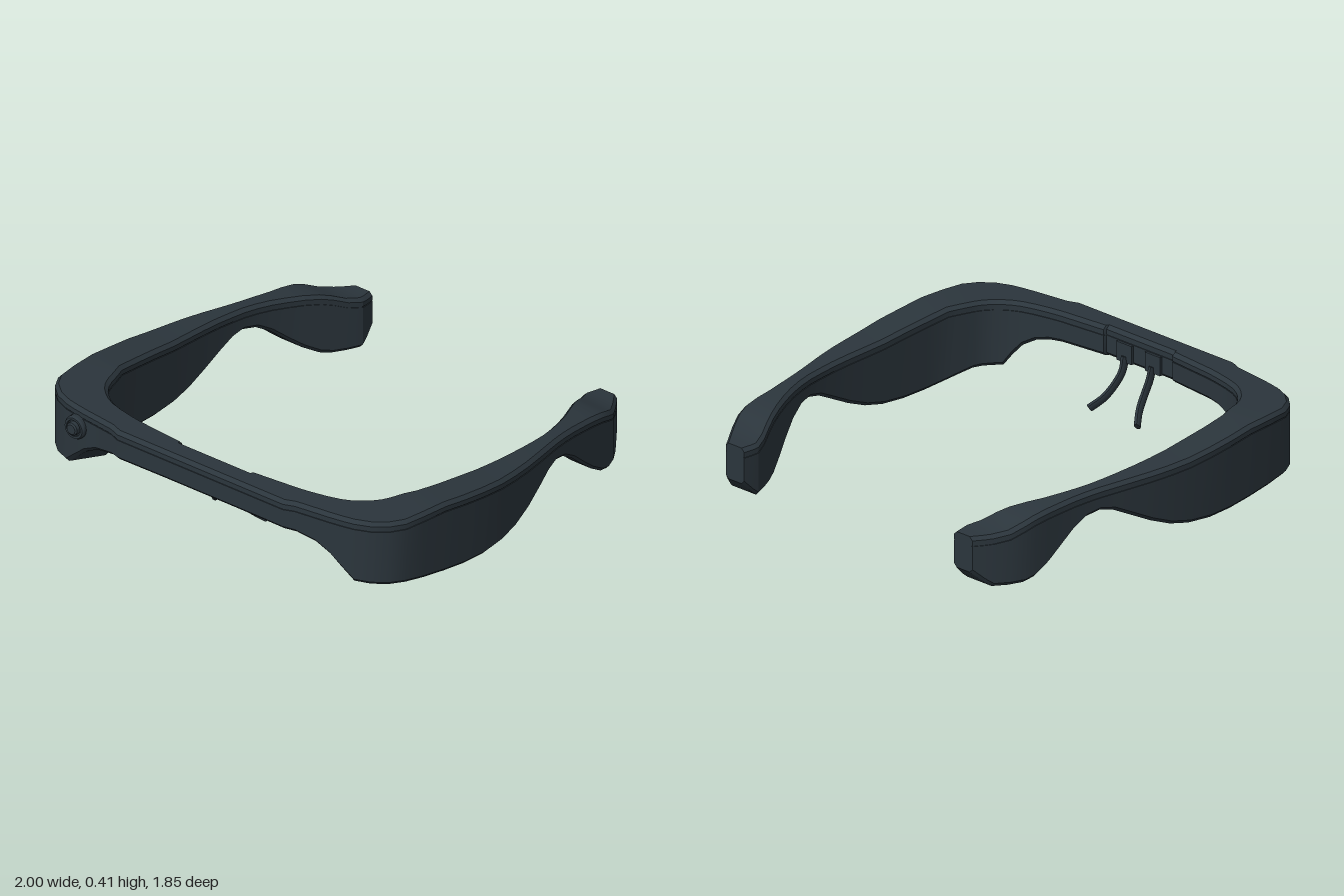
import * as THREE from 'three';
import { toCreasedNormals } from 'three/addons/utils/BufferGeometryUtils.js';

// Skin a list of equal-length closed rings and cap both ends
function loft(rings, crease = 0.5) {
  const n = rings[0].length, pos = [], idx = [];
  rings.forEach(r => r.forEach(p => pos.push(p.x, p.y, p.z)));
  for (let i = 0; i < rings.length - 1; i++) {
    for (let j = 0; j < n; j++) {
      const a = i * n + j, b = i * n + (j + 1) % n;
      idx.push(a, b, a + n, b, b + n, a + n);
    }
  }
  [0, rings.length - 1].forEach(k => {
    const c = new THREE.Vector3();
    rings[k].forEach(p => c.addScaledVector(p, 1 / n));
    const ci = pos.length / 3;
    pos.push(c.x, c.y, c.z);
    for (let j = 0; j < n; j++) {
      const a = k * n + j, b = k * n + (j + 1) % n;
      if (k) idx.push(ci, a, b); else idx.push(ci, b, a);
    }
  });
  const g = new THREE.BufferGeometry();
  g.setAttribute('position', new THREE.Float32BufferAttribute(pos, 3));
  g.setIndex(idx);
  return toCreasedNormals(g, crease);
}

// Front bar and corner: outer x, outer z, inner x, inner z, top y, bottom y
const FRONT = [
  [0.20, 0.92, 0.20, 0.81, 0.412, 0.275],
  [0.205, 0.92, 0.205, 0.797, 0.412, 0.275],
  [0.46, 0.92, 0.44, 0.775, 0.412, 0.273],
  [0.51, 0.90, 0.50, 0.765, 0.412, 0.268],
  [0.61, 0.887, 0.57, 0.75, 0.412, 0.25],
  [0.68, 0.878, 0.63, 0.732, 0.412, 0.215],
  [0.74, 0.868, 0.67, 0.712, 0.412, 0.165],
  [0.80, 0.855, 0.70, 0.69, 0.412, 0.115],
  [0.87, 0.825, 0.732, 0.66, 0.412, 0.113],
  [0.93, 0.775, 0.757, 0.625, 0.412, 0.112],
  [0.968, 0.71, 0.772, 0.59, 0.412, 0.11],
  [0.982, 0.61, 0.79, 0.53, 0.412, 0.095],
];
// Temple: z, outer x, inner x, top y, bottom y
const TEMPLE = [
  [0.48, 0.992, 0.81, 0.409, 0.078],
  [0.36, 0.998, 0.82, 0.393, 0.065],
  [0.24, 1.0, 0.826, 0.379, 0.06],
  [0.12, 0.993, 0.83, 0.364, 0.068],
  [0.02, 0.982, 0.834, 0.357, 0.09],
  [-0.08, 0.967, 0.836, 0.352, 0.13],
  [-0.18, 0.946, 0.834, 0.347, 0.18],
  [-0.26, 0.927, 0.829, 0.342, 0.22],
  [-0.33, 0.911, 0.822, 0.338, 0.236],
  [-0.40, 0.898, 0.808, 0.333, 0.222],
  [-0.47, 0.888, 0.788, 0.327, 0.18],
  [-0.54, 0.88, 0.762, 0.319, 0.12],
  [-0.61, 0.875, 0.73, 0.312, 0.064],
  [-0.68, 0.868, 0.695, 0.3, 0.022],
  [-0.73, 0.857, 0.67, 0.283, 0.009],
  [-0.79, 0.83, 0.64, 0.256, 0.006],
  [-0.85, 0.79, 0.614, 0.243, 0.006],
  [-0.88, 0.768, 0.617, 0.24, 0.03],
  [-0.925, 0.735, 0.625, 0.238, 0.075],
];

// Chamfered section with a fine seam below the top cover
function frameRing([ox, oz, ix, iz, top, bot]) {
  const w = Math.hypot(ox - ix, oz - iz), h = top - bot;
  const c = 0.016, s = 0.038, gap = 0.004, d = 0.004;
  const half = [[w - c, 0], [w, c], [w, s], [w - d, s], [w - d, s + gap], [w, s + gap], [w, h - c], [w - c, h]];
  const pts = [...half, ...half.map(([u, v]) => [w - u, v]).reverse()];
  return pts.map(([u, v]) => new THREE.Vector3(
    ix + (ox - ix) * u / w, top - v, iz + (oz - iz) * u / w));
}

export function createModel() {
  const group = new THREE.Group();
  const shell = new THREE.MeshStandardMaterial({ color: 0x2b353c });
  shell.name = 'charcoal shell';
  const dark = new THREE.MeshStandardMaterial({ color: 0x1b2024 });
  dark.name = 'dark rubber';
  const add = (name, geo, mat, x = 0, y = 0, z = 0) => {
    const m = new THREE.Mesh(geo, mat);
    m.name = name;
    m.position.set(x, y, z);
    group.add(m);
    return m;
  };

  // Continuous frame, from the right tip round the front to the left tip
  const left = [...FRONT, ...TEMPLE.map(([z, o, i, t, b]) => [o, z, i, z, t, b])];
  const right = left.map(([ox, oz, ix, iz, t, b]) => [-ox, oz, -ix, iz, t, b]).reverse();
  add('frame', loft([...right, ...left].map(frameRing)), shell);

  // Nose pad mounts and curved arms
  for (const s of [-1, 1]) {
    add('noseMount', new THREE.BoxGeometry(0.09, 0.085, 0.02), shell, s * 0.085, 0.325, 0.808);
    const curve = new THREE.CatmullRomCurve3([
      [0.082, 0.31, 0.802], [0.08, 0.25, 0.785], [0.086, 0.2, 0.75],
      [0.105, 0.145, 0.7], [0.143, 0.1, 0.65],
    ].map(([x, y, z]) => new THREE.Vector3(s * x, y, z)));
    const rings = [];
    for (let i = 0; i <= 14; i++) {
      const p = curve.getPoint(i / 14), t = curve.getTangent(i / 14);
      const side = new THREE.Vector3(1, 0, 0).addScaledVector(t, -t.x).normalize();
      const wide = t.clone().cross(side);
      rings.push([[1, 0.6], [0.6, 1], [-0.6, 1], [-1, 0.6], [-1, -0.6], [-0.6, -1], [0.6, -1], [1, -0.6]]
        .map(([a, b]) => p.clone().addScaledVector(side, a * 0.011).addScaledVector(wide, b * 0.018)));
    }
    add('noseArm', loft(rings, 0.6), shell);
  }

  // Front lens ring with a domed centre
  const ring = new THREE.LatheGeometry([
    [0.052, -0.03], [0.054, 0.02], [0.048, 0.03], [0.038, 0.03], [0.036, 0.022],
    [0.031, 0.022], [0.029, 0.04], [0.022, 0.046], [0, 0.047],
  ].map(([r, y]) => new THREE.Vector2(r, y)), 28);
  const lens = add('cameraRing', toCreasedNormals(ring, 0.5), shell, -0.718, 0.325, 0.872);
  lens.rotation.x = Math.PI / 2;

  // Round button under the right corner
  add('undersideButton', new THREE.CylinderGeometry(0.038, 0.03, 0.03, 24), dark, -0.83, 0.107, 0.69);

  return group;
}
